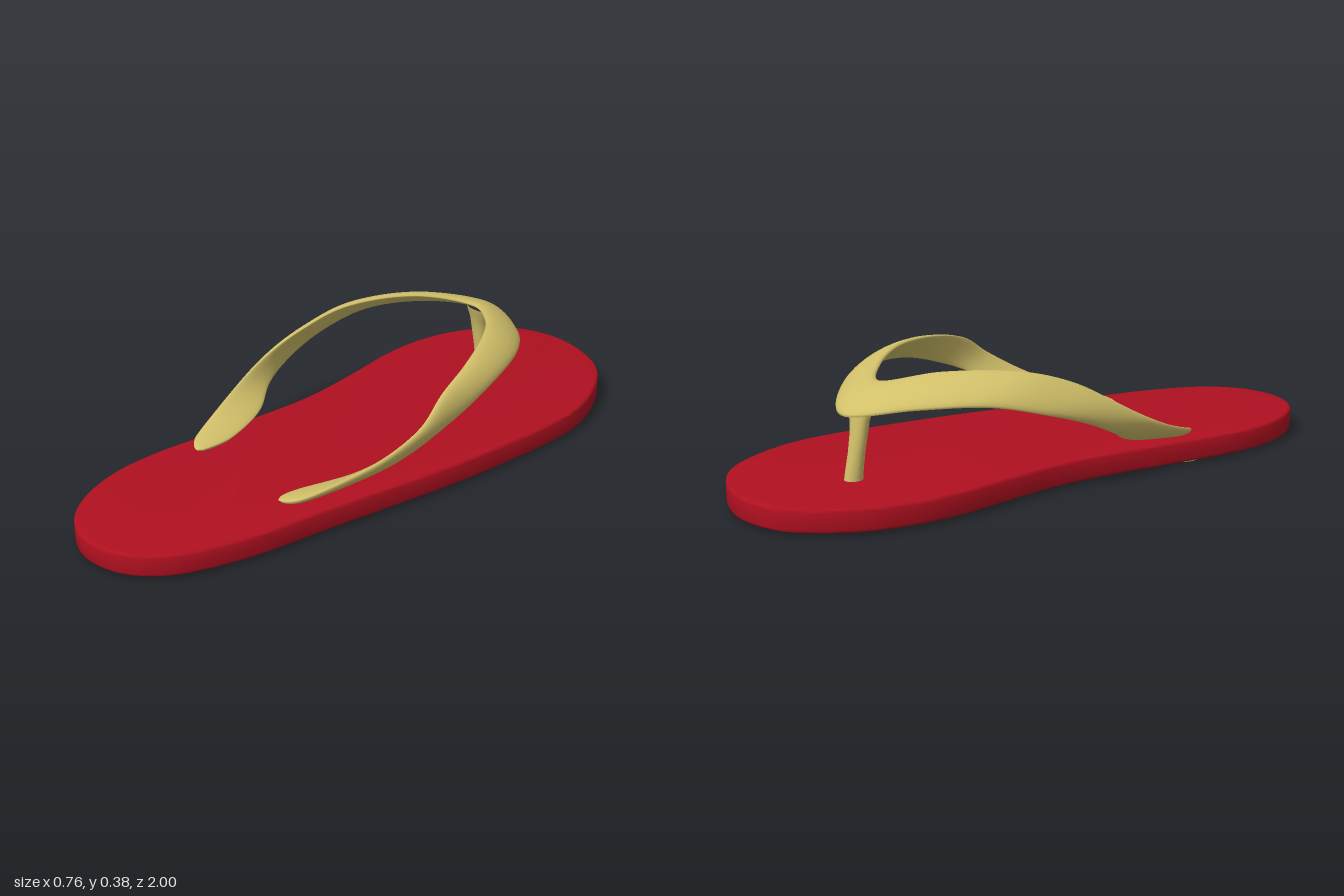
import * as THREE from 'three';
import { toCreasedNormals } from 'three/addons/utils/BufferGeometryUtils.js';

const V = (p) => new THREE.Vector3(...p);
const curve = (pts) => new THREE.CatmullRomCurve3(pts.map(V), false, 'centripetal');

// Skin a list of closed rings (each ring has the same number of points).
function loft(rings) {
  const n = rings[0].length, index = [];
  for (let i = 0; i < rings.length - 1; i++) {
    for (let j = 0; j < n; j++) {
      const a = i * n + j, b = i * n + (j + 1) % n;
      index.push(a, b, a + n, b, b + n, a + n);
    }
  }
  const g = new THREE.BufferGeometry().setFromPoints(rings.flat());
  g.setIndex(index);
  g.computeVertexNormals();
  return g;
}

// Foot-shaped slab with softened rims
function soleGeometry() {
  const outline = [
    [-0.09, -1], [0.06, -0.985], [0.19, -0.92], [0.29, -0.79], [0.35, -0.64], [0.367, -0.5],
    [0.366, -0.3], [0.355, -0.08], [0.33, 0.15], [0.3, 0.4], [0.27, 0.66], [0.2, 0.87],
    [0.1, 0.97], [-0.03, 1], [-0.14, 0.965], [-0.225, 0.88], [-0.29, 0.74], [-0.312, 0.58],
    [-0.307, 0.4], [-0.295, 0.15], [-0.297, -0.05], [-0.335, -0.28], [-0.37, -0.45],
    [-0.378, -0.6], [-0.345, -0.77], [-0.235, -0.94],
  ].map(([x, z]) => new THREE.Vector3(x, -z, 0));
  const pts = new THREE.CatmullRomCurve3(outline, true).getPoints(160).slice(0, -1);
  const shape = new THREE.Shape(pts.map((p) => new THREE.Vector2(p.x, p.y)));
  const bevel = 0.008;
  const g = new THREE.ExtrudeGeometry(shape, {
    depth: 0.07 - 2 * bevel, bevelThickness: bevel, bevelSize: bevel, bevelOffset: -bevel, bevelSegments: 3,
  });
  g.translate(0, 0, bevel).rotateX(-Math.PI / 2).translate(0, 0.01, 0);
  return toCreasedNormals(g, 0.6);
}

// Twisting V strap, spanned between its toe-side edge and its heel-side edge
function strapGeometry() {
  const toeEdge = curve([
    [-0.2, 0.085, 0.45], [-0.22, 0.092, 0.32], [-0.27, 0.115, 0.18], [-0.332, 0.16, 0.09],
    [-0.36, 0.21, -0.02], [-0.367, 0.26, -0.17], [-0.335, 0.3, -0.34], [-0.25, 0.3, -0.53],
    [-0.115, 0.275, -0.69],
    [0.1, 0.288, -0.6], [0.25, 0.31, -0.45], [0.34, 0.3, -0.25], [0.36, 0.25, -0.08],
    [0.343, 0.21, 0.01], [0.295, 0.15, 0.1], [0.24, 0.11, 0.2], [0.18, 0.09, 0.33], [0.14, 0.085, 0.45],
  ]);
  const heelEdge = curve([
    [-0.25, 0.092, 0.48], [-0.28, 0.11, 0.42], [-0.315, 0.145, 0.32], [-0.34, 0.2, 0.2],
    [-0.338, 0.26, 0.09], [-0.305, 0.325, -0.03], [-0.27, 0.37, -0.18], [-0.17, 0.378, -0.4],
    [-0.05, 0.345, -0.54],
    [0.08, 0.362, -0.47], [0.2, 0.38, -0.34], [0.3, 0.368, -0.16], [0.348, 0.335, -0.02],
    [0.37, 0.27, 0.08], [0.345, 0.2, 0.2], [0.3, 0.15, 0.31], [0.25, 0.11, 0.42], [0.21, 0.092, 0.48],
  ]);
  const steps = 170, sides = 20, rings = [];
  const mid = (t) => toeEdge.getPoint(t).add(heelEdge.getPoint(t)).multiplyScalar(0.5);
  for (let i = 0; i <= steps; i++) {
    const t = i / steps, c = mid(t);
    const w = toeEdge.getPoint(t).sub(heelEdge.getPoint(t)).multiplyScalar(0.5);
    const tangent = mid(Math.min(1, t + 0.01)).sub(mid(Math.max(0, t - 0.01)));
    const n = tangent.cross(w).normalize();
    // rounded ends
    const e = Math.min(1, Math.min(t, 1 - t) / 0.05);
    const k = Math.max(0.02, Math.sqrt(1 - (1 - e) ** 2));
    const ring = [];
    for (let j = 0; j < sides; j++) {
      const a = j / sides * Math.PI * 2, s = Math.sin(a);
      ring.push(c.clone().addScaledVector(w, k * Math.cos(a)).addScaledVector(n, k * s * (s > 0 ? 0.02 : 0.008)));
    }
    rings.push(ring);
  }
  return loft(rings);
}

// Toe post flaring into the strap: centre x, y, z, then half-width and half-depth
function postGeometry() {
  const stations = [
    [-0.102, 0.05, -0.662, 0.025, 0.03], [-0.102, 0.09, -0.66, 0.025, 0.028],
    [-0.104, 0.16, -0.65, 0.027, 0.025], [-0.103, 0.22, -0.64, 0.032, 0.025],
    [-0.097, 0.255, -0.634, 0.04, 0.026], [-0.088, 0.28, -0.628, 0.055, 0.03], [-0.085, 0.3, -0.622, 0.06, 0.03],
  ];
  const sides = 20;
  return loft(stations.map(([x, y, z, rx, rz]) => Array.from({ length: sides }, (_, j) => {
    const a = -j / sides * Math.PI * 2;
    return new THREE.Vector3(x + rx * Math.cos(a), y, z + rz * Math.sin(a));
  })));
}

export function createModel() {
  const group = new THREE.Group();
  const red = new THREE.MeshStandardMaterial({ color: 0xb01020 });
  const tan = new THREE.MeshStandardMaterial({ color: 0xd2c06a });
  const add = (name, geometry, material) => {
    const mesh = new THREE.Mesh(geometry, material);
    mesh.name = name;
    group.add(mesh);
    return mesh;
  };
  add('sole', soleGeometry(), red);
  add('strap', strapGeometry(), tan);
  add('toePost', postGeometry(), tan);

  // Anchor plugs under the sole
  for (const [name, x, z, rx, rz, y] of [
    ['toePlug', -0.08, -0.68, 0.08, 0.07, 0.004],
    ['rightHeelPlug', -0.235, 0.43, 0.062, 0.062, 0.004],
    ['leftHeelPlug', 0.203, 0.43, 0.064, 0.064, 0],
  ]) {
    const h = 0.02 - y;
    const plug = add(name, new THREE.CylinderGeometry(1, 0.94, h, 36), tan);
    plug.scale.set(rx, 1, rz);
    plug.position.set(x, y + h / 2, z);
  }
  return group;
}
